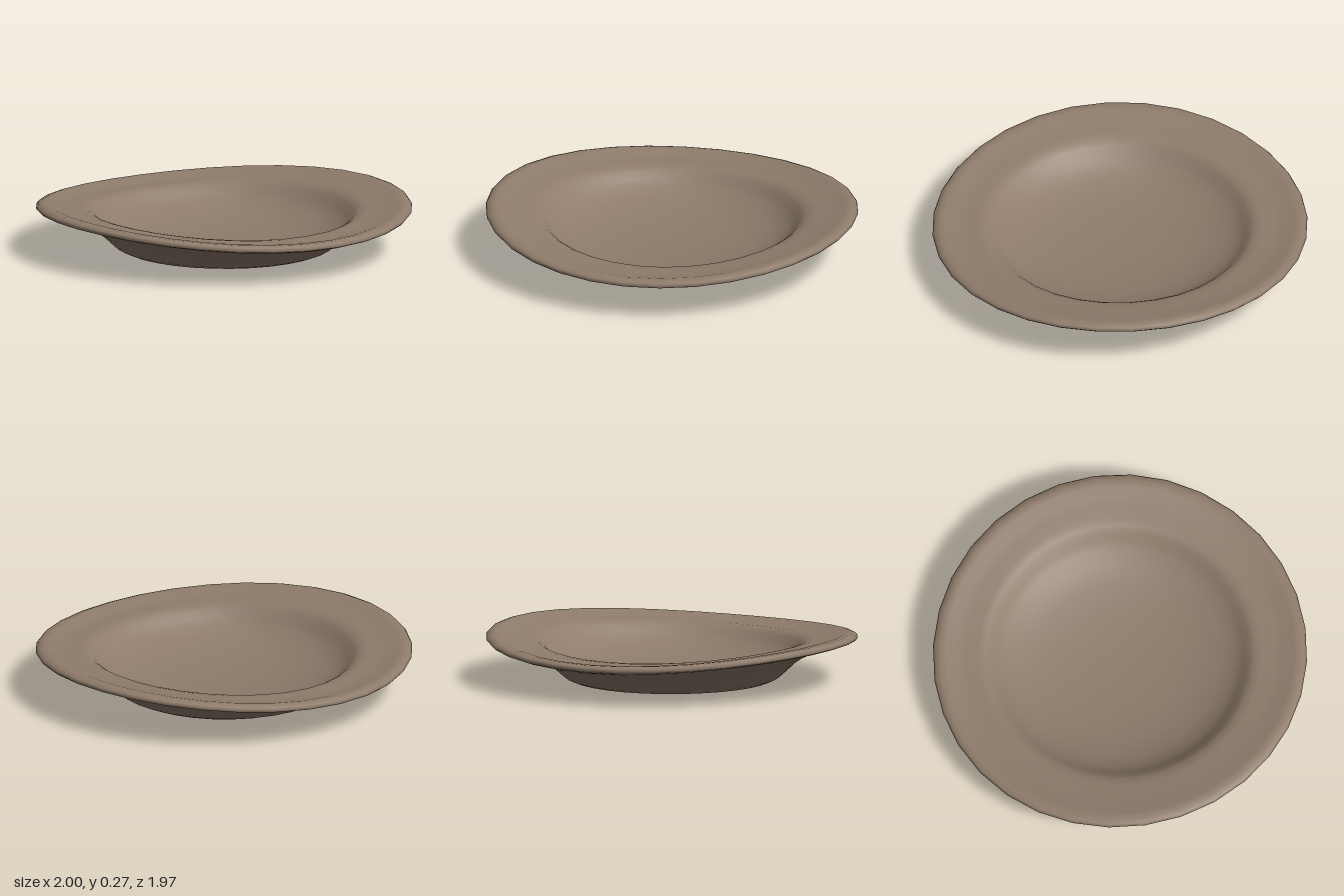
import * as THREE from 'three';
import { mergeVertices } from 'three/addons/utils/BufferGeometryUtils.js';

// Closed half-section: underside from the centre out, over the lip, back into the well
const SECTION = [
  [0, 0.004], [0.48, 0.006], [0.54, 0.014], [0.58, 0.03], [0.61, 0.055],
  [0.66, 0.098], [0.72, 0.135], [0.8, 0.167], [0.89, 0.189], [0.96, 0.203],
  [0.99, 0.213], [1, 0.224], [0.99, 0.237], [0.965, 0.246], [0.93, 0.244],
  [0.88, 0.231], [0.82, 0.225], [0.76, 0.222], [0.72, 0.215], [0.69, 0.197],
  [0.66, 0.167], [0.62, 0.136], [0.55, 0.104], [0.44, 0.077], [0.3, 0.06],
  [0.15, 0.052], [0, 0.05],
];

// Hand-thrown warp: the rim rises and falls twice around the circle
function warpRim(geometry) {
  const p = geometry.attributes.position;
  for (let i = 0; i < p.count; i++) {
    const x = p.getX(i), z = p.getZ(i);
    const angle = Math.atan2(z, x);
    const weight = THREE.MathUtils.smoothstep(Math.hypot(x, z), 0.5, 0.92);
    const lift = -0.028 * Math.sin(2 * angle) - 0.01 * Math.cos(2 * angle);
    p.setY(i, p.getY(i) + weight * lift);
    p.setZ(i, z * 0.987);
  }
}

export function createModel() {
  const clay = new THREE.MeshStandardMaterial({ color: 0x8f7c6b });
  clay.name = 'brown clay';

  let geometry = new THREE.LatheGeometry(SECTION.map(([r, y]) => new THREE.Vector2(r, y)), 32);
  // Weld the lathe seam so the shading stays smooth all round
  geometry.deleteAttribute('uv');
  geometry.deleteAttribute('normal');
  geometry = mergeVertices(geometry, 1e-4);
  warpRim(geometry);
  geometry.computeVertexNormals();

  const dish = new THREE.Mesh(geometry, clay);
  dish.name = 'dish';

  const group = new THREE.Group();
  group.name = 'shallowBowl';
  group.add(dish);
  return group;
}
